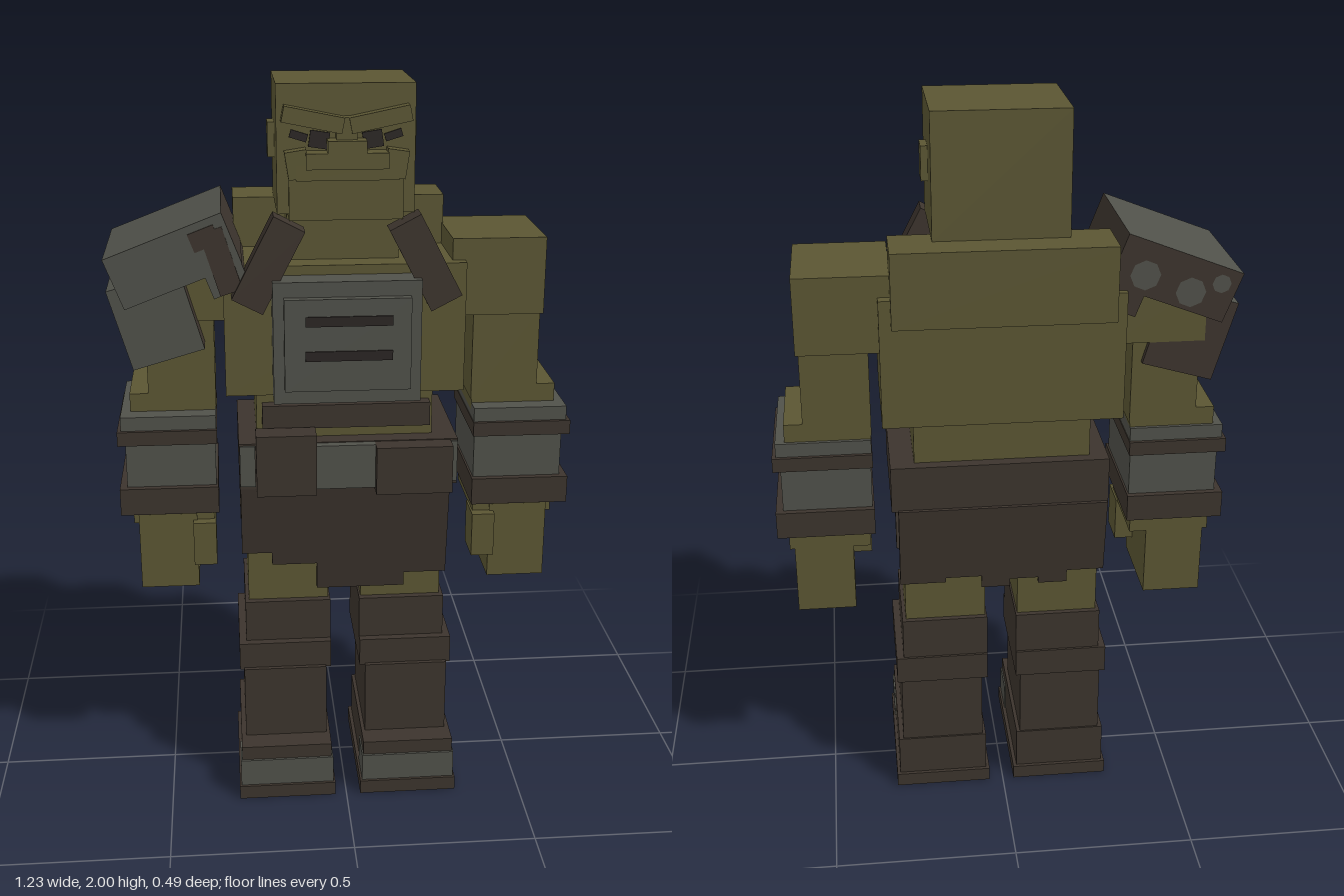
import * as THREE from 'three';

const mat = (name, color) => {
  const m = new THREE.MeshStandardMaterial({ color });
  m.name = name;
  return m;
};

export function createModel() {
  const skin = mat('olive skin', 0x5b5633);
  const leather = mat('brown leather', 0x3c342d);
  const metal = mat('grey metal', 0x50514a);
  const dark = mat('dark detail', 0x2a2523);
  const MID = 0.004; // mirror plane of the body
  const root = new THREE.Group();
  root.name = 'armouredBrute';

  // Box from its extents
  const box = (name, m, x0, x1, y0, y1, z0, z1, parent = root) => {
    const mesh = new THREE.Mesh(new THREE.BoxGeometry(x1 - x0, y1 - y0, z1 - z0), m);
    mesh.position.set((x0 + x1) / 2, (y0 + y1) / 2, (z0 + z1) / 2);
    mesh.name = name;
    parent.add(mesh);
    return mesh;
  };
  // Same box on either side of the body; s = 1 is the left side
  const sideBox = (s, name, m, x0, x1, ...rest) =>
    s > 0 ? box(name, m, x0, x1, ...rest) : box(name, m, 2 * MID - x1, 2 * MID - x0, ...rest);
  // Box tilted in the front plane
  const tilted = (name, m, x, y, w, h, z0, z1, angle, parent = root) => {
    const mesh = box(name, m, x - w / 2, x + w / 2, y - h / 2, y + h / 2, z0, z1, parent);
    mesh.rotation.z = angle;
    return mesh;
  };

  // Head and neck
  const head = new THREE.Group();
  head.name = 'head';
  root.add(head);
  box('skull', skin, -0.172, 0.18, 1.675, 2, -0.155, 0.145, head);
  box('neck', skin, -0.145, 0.15, 1.5, 1.69, -0.1, 0.075, head);
  box('jaw', skin, -0.142, 0.15, 1.66, 1.765, 0.06, 0.158, head);
  box('lowerLip', skin, -0.125, 0.135, 1.765, 1.805, 0.14, 0.185, head);
  box('chinPoint', skin, -0.1, 0.108, 1.795, 1.835, 0.14, 0.2, head);
  box('nose', skin, -0.045, 0.053, 1.825, 1.865, 0.14, 0.2, head);
  box('noseBridge', skin, -0.022, 0.03, 1.86, 1.92, 0.14, 0.175, head);
  for (const s of [1, -1]) {
    sideBox(s, 'ear', skin, 0.17, 0.198, 1.8, 1.89, -0.045, 0.022, head);
    tilted('brow', skin, MID + s * 0.085, 1.915, 0.155, 0.04, 0.14, 0.182, s * 0.2, head);
    tilted('cheek', skin, MID + s * 0.125, 1.805, 0.055, 0.07, 0.14, 0.185, -s * 0.15, head);
    tilted('eye', dark, MID + s * 0.068, 1.862, 0.05, 0.042, 0.144, 0.15, s * 0.15, head);
    tilted('eyeCorner', dark, MID + s * 0.12, 1.872, 0.045, 0.02, 0.144, 0.149, s * 0.3, head);
  }

  // Torso
  box('chest', skin, -0.315, 0.322, 1.19, 1.54, -0.205, 0.145);
  box('upperBack', skin, -0.283, 0.291, 1.475, 1.675, -0.245, -0.09);
  box('waist', skin, -0.235, 0.24, 0.85, 1.19, -0.16, 0.13);
  box('waistStrap', leather, -0.22, 0.23, 1.1, 1.165, 0.1, 0.165);

  // Chest plate with two slots, held by shoulder straps
  box('chestPlate', metal, -0.19, 0.195, 1.19, 1.515, 0.14, 0.222);
  box('chestPlateInset', metal, -0.162, 0.166, 1.23, 1.475, 0.2, 0.245);
  for (const y of [1.325, 1.417]) box('plateSlot', dark, -0.108, 0.118, y - 0.013, y + 0.013, 0.243, 0.249);
  for (const s of [1, -1])
    tilted('shoulderStrap', leather, MID + s * 0.203, 1.553, 0.09, 0.24, 0.13, 0.2, s * 0.48);

  // Belt with pouch and buckle
  box('belt', leather, -0.285, 0.305, 0.935, 1.065, -0.192, 0.18);
  box('beltPouch', leather, -0.24, -0.08, 0.935, 1.105, 0.17, 0.238);
  box('beltBuckle', metal, -0.08, 0.08, 0.94, 1.063, 0.17, 0.205);
  box('beltFlap', leather, 0.08, 0.285, 0.93, 1.063, 0.17, 0.235);
  box('beltStud', metal, -0.283, -0.242, 0.945, 1.06, 0.178, 0.187);
  box('beltEndPlate', metal, 0.286, 0.304, 0.945, 1.06, 0.178, 0.187);

  // Skirt panels with a stepped hem, leaning inwards
  const skirt = (name, hem, z, lean) => {
    const shape = new THREE.Shape();
    shape.moveTo(0.287, 0);
    shape.lineTo(-0.283, 0);
    let x = -0.283;
    for (const [next, drop] of hem) {
      shape.lineTo(x, -drop);
      shape.lineTo(next, -drop);
      x = next;
    }
    const g = new THREE.ExtrudeGeometry(shape, { depth: 0.035, bevelEnabled: false });
    g.translate(0, 0, lean > 0 ? -0.035 : 0);
    const mesh = new THREE.Mesh(g, leather);
    mesh.name = name;
    mesh.position.set(0, 0.938, z);
    mesh.rotation.x = lean;
    root.add(mesh);
  };
  skirt('frontSkirt', [[-0.2, 0.21], [-0.075, 0.25], [0.17, 0.333], [0.287, 0.29]], 0.18, 0.15);
  skirt('backSkirt', [[-0.18, 0.23], [-0.1, 0.27], [-0.02, 0.25], [0.06, 0.275], [0.16, 0.235], [0.287, 0.25]], -0.2, -0.15);

  // Arms and legs
  for (const s of [1, -1]) {
    sideBox(s, 'shoulder', skin, 0.288, 0.537, 1.39, s > 0 ? 1.597 : 1.55, -0.175, 0.115);
    sideBox(s, 'upperArm', skin, 0.35, 0.53, 1.15, 1.4, -0.155, 0.105);
    sideBox(s, 'elbow', skin, 0.352, 0.58, 1.12, 1.19, -0.155, 0.105);
    sideBox(s, 'bracerTop', metal, 0.352, 0.605, 1.1, 1.14, -0.165, 0.155);
    sideBox(s, 'bracerUpperBand', leather, 0.35, 0.615, 1.063, 1.102, -0.175, 0.165);
    sideBox(s, 'bracer', metal, 0.355, 0.595, 0.93, 1.065, -0.16, 0.15);
    sideBox(s, 'bracerLowerBand', leather, 0.35, 0.615, 0.865, 0.94, -0.177, 0.168);
    sideBox(s, 'wrist', skin, 0.365, 0.585, 0.815, 0.87, -0.15, 0.105);
    sideBox(s, 'hand', skin, 0.412, 0.572, 0.62, 0.84, -0.15, 0.11);
    sideBox(s, 'thumb', skin, 0.36, 0.423, 0.695, 0.82, 0.03, 0.135);

    sideBox(s, 'thigh', skin, 0.05, 0.275, 0.55, 0.95, -0.15, 0.11);
    sideBox(s, 'bootCuff', leather, 0.045, 0.285, 0.44, 0.57, -0.165, 0.13);
    sideBox(s, 'kneeBand', leather, 0.045, 0.305, 0.37, 0.45, -0.172, 0.153);
    sideBox(s, 'shin', leather, 0.06, 0.293, 0.14, 0.375, -0.155, 0.165);
    sideBox(s, 'foot', leather, 0.05, 0.306, 0.03, 0.16, -0.16, 0.23);
    sideBox(s, 'toeCap', metal, 0.046, 0.31, 0.04, 0.12, 0.13, 0.237);
    sideBox(s, 'sole', leather, 0.04, 0.315, 0, 0.04, -0.17, 0.245);
  }

  // Tilted shoulder armour on the right: grey shell, leather lining
  // (face order: +x, -x, top, bottom, front, back)
  const shell = [leather, metal, metal, leather, metal, leather];
  const pad = new THREE.Group();
  pad.name = 'shoulderArmour';
  root.add(pad);
  tilted('padTop', shell, -0.441, 1.567, 0.324, 0.14, -0.19, 0.19, 0.366, pad);
  tilted('padInner', shell, -0.327, 1.578, 0.1, 0.2, -0.187, 0.187, 0.366, pad);
  tilted('padLower', shell, -0.49, 1.409, 0.195, 0.22, -0.172, 0.172, 0.28, pad);
  tilted('padPatch', leather, -0.318, 1.565, 0.06, 0.17, 0.185, 0.193, 0.3, pad);
  tilted('padPatchCorner', leather, -0.36, 1.625, 0.07, 0.05, 0.185, 0.193, 0.366, pad);
  // Worn metal spots on the back of the lining
  for (const [x, y, r] of [[-0.36, 1.58, 0.04], [-0.48, 1.53, 0.04], [-0.56, 1.55, 0.025]]) {
    const spot = new THREE.Mesh(new THREE.CircleGeometry(r, 8), metal);
    spot.name = 'wornSpot';
    spot.position.set(x, y, -0.192);
    spot.rotation.y = Math.PI;
    pad.add(spot);
  }

  return root;
}
